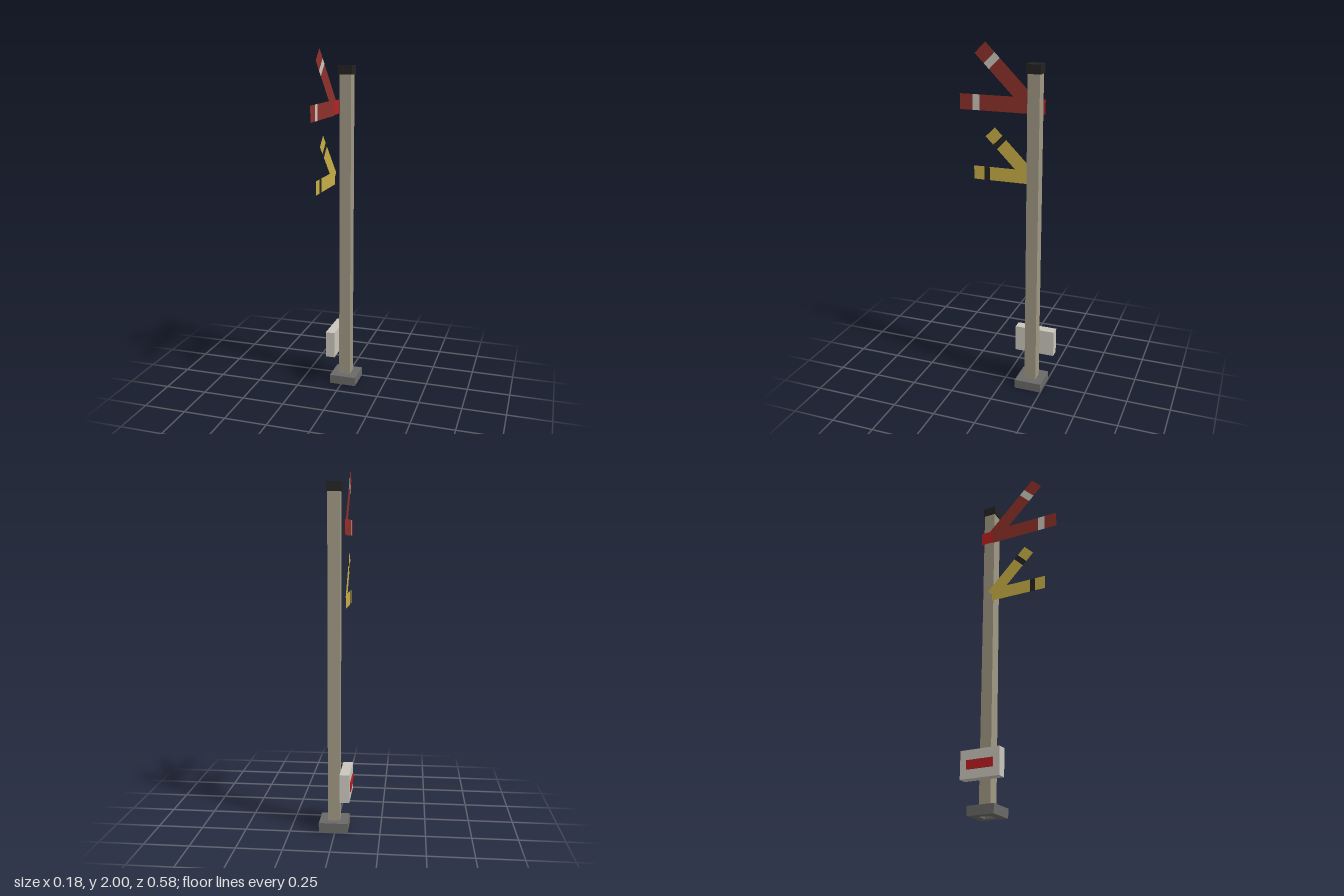
import * as THREE from 'three';

const mat = (name, color, side = THREE.FrontSide) => {
  const m = new THREE.MeshStandardMaterial({ color, side });
  m.name = name;
  return m;
};

export function createModel() {
  const model = new THREE.Group();
  const stone = mat('post stone', 0xa09884);
  const grey = mat('base grey', 0x696967);
  const black = mat('black', 0x222222, THREE.DoubleSide);
  const white = mat('off white', 0xcac6bc, THREE.DoubleSide);
  const red = mat('arm red', 0x8e3029, THREE.DoubleSide);
  const yellow = mat('arm yellow', 0xc9af46, THREE.DoubleSide);
  const lampRed = mat('bright red', 0xba2020, THREE.DoubleSide);

  const X = 0.009, Z = -0.17; // post axis

  const add = (name, geometry, material, x, y, z, parent = model) => {
    const mesh = new THREE.Mesh(geometry, material);
    mesh.name = name;
    mesh.position.set(x, y, z);
    parent.add(mesh);
    return mesh;
  };
  const box = (name, w, y0, y1, d, material, x, z) =>
    add(name, new THREE.BoxGeometry(w, y1 - y0, d), material, x, (y0 + y1) / 2, z);

  // Square frame base around the foot of the post
  const square = (Type, h) => new Type(
    [[-h, -h], [h, -h], [h, h], [-h, h]].map(([a, b]) => new THREE.Vector2(a, b)));
  const frame = square(THREE.Shape, 0.08);
  frame.holes.push(square(THREE.Path, 0.034));
  const baseGeometry = new THREE.ExtrudeGeometry(frame, { depth: 0.053, bevelEnabled: false });
  baseGeometry.rotateX(-Math.PI / 2);
  add('base', baseGeometry, grey, X, 0, Z);

  // Post and cap
  box('post', 0.068, 0.04, 1.87, 0.068, stone, X, Z);
  box('cap', 0.08, 1.858, 1.908, 0.08, black, X, Z);

  // Control box with a red plate on its outer side
  box('controlBox', 0.054, 0.19, 0.346, 0.237, white, -0.057, -0.1715);
  box('controlBoxPlate', 0.006, 0.24, 0.29, 0.16, lampRed, -0.0865, Z);

  // Flat plate in the y-z plane, from z0 to z1
  const plate = (name, z0, z1, height, material, parent) => {
    const g = new THREE.PlaneGeometry(z1 - z0, height);
    g.rotateY(-Math.PI / 2);
    add(name, g, material, 0, 0, (z0 + z1) / 2, parent);
  };

  // Signal arm: three flat segments swung up about its pivot
  const arm = (name, y, length, height, band, material, bandMaterial, angle) => {
    const group = new THREE.Group();
    group.name = name;
    group.position.set(-0.051, y, -0.13);
    group.rotation.x = -angle;
    plate('armInner', 0, band[0], height, material, group);
    plate('armBand', band[0], band[1], height, bandMaterial, group);
    plate('armTip', band[1], length, height, material, group);
    model.add(group);
    return group;
  };

  for (const [label, angle] of [['Level', 0], ['Raised', Math.PI / 4]]) {
    arm('redArm' + label, 1.674, 0.42, 0.088, [0.303, 0.345], red, white, angle);
    arm('yellowArm' + label, 1.274, 0.34, 0.078, [0.245, 0.277], yellow, black, angle);
  }

  // Lens plate behind the red pivot
  const lens = new THREE.Group();
  lens.name = 'lens';
  lens.position.set(-0.051, 1.674, -0.13);
  plate('lensPlate', -0.078, 0, 0.08, lampRed, lens);
  model.add(lens);

  return model;
}
